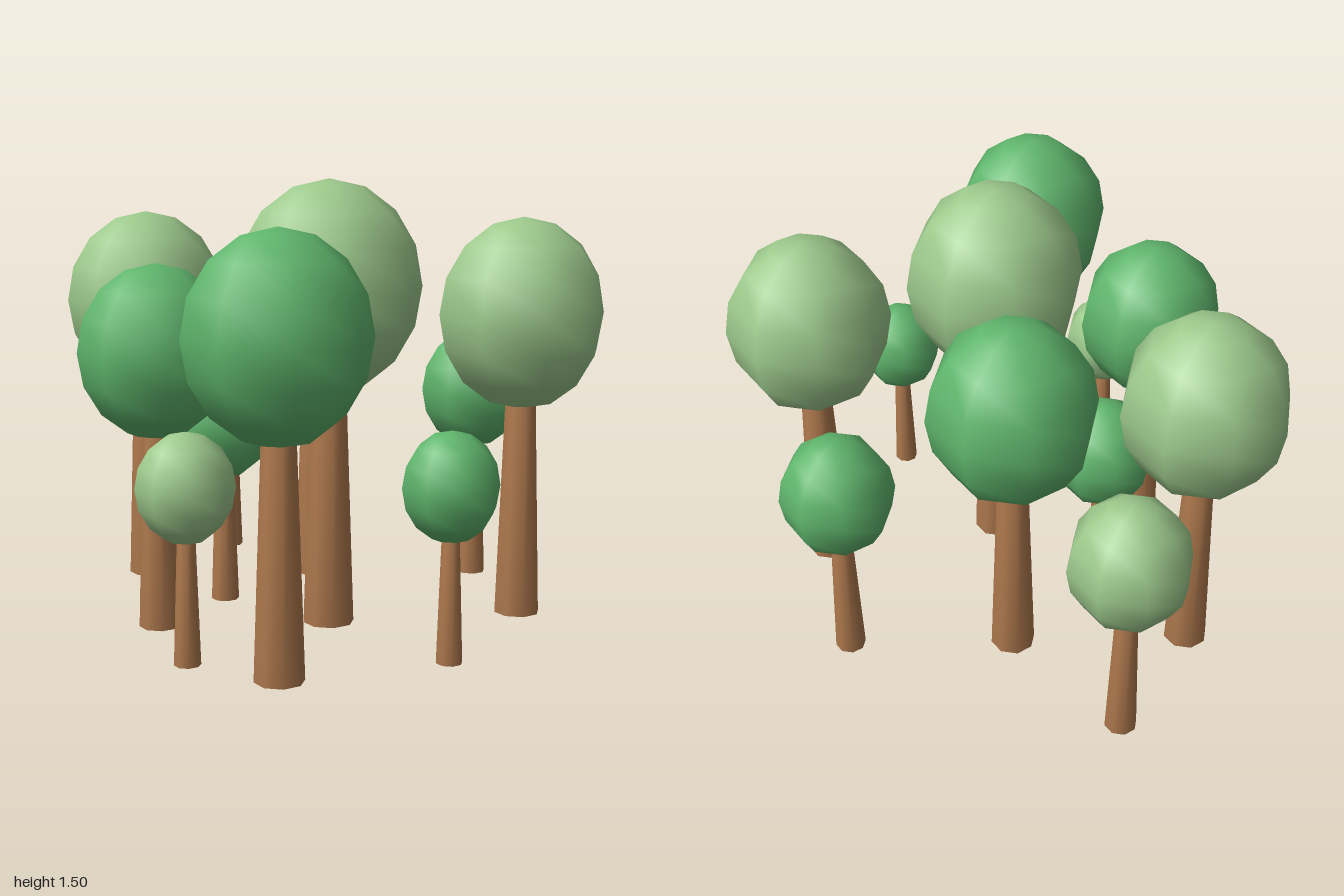
import * as THREE from 'three';
import { mergeVertices } from 'three/addons/utils/BufferGeometryUtils.js';

const SIDES = 8;
const FLAT = 1 / Math.cos(Math.PI / SIDES); // flat-to-flat size to corner radius

const bark = new THREE.MeshStandardMaterial({ color: 0xb07a4e });
const darkLeaf = new THREE.MeshStandardMaterial({ color: 0x5fb56c });
const lightLeaf = new THREE.MeshStandardMaterial({ color: 0x9dc98c });

// Weld a geometry so that its shading is smooth all over
function smooth(geometry) {
  geometry.deleteAttribute('normal');
  geometry.deleteAttribute('uv');
  const welded = mergeVertices(geometry, 1e-4);
  welded.computeVertexNormals();
  return welded;
}

// All trees share one shape, sized so that the crown is 1 unit in half-width
const trunkShape = smooth(
  new THREE.CylinderGeometry(0.17 * FLAT, 0.273 * FLAT, 3.3, SIDES)
    .rotateY(Math.PI / SIDES)
    .translate(0, 1.65, 0)
);
const crownShape = smooth(
  new THREE.SphereGeometry(1, SIDES, 8)
    .rotateY(Math.PI / SIDES)
    .scale(FLAT, 1.215, FLAT)
    .translate(0, 3.885, 0)
);

// x, z, crown half-width, leaf material, height of the trunk's foot
const trees = [
  [-0.33, -0.605, 0.265, lightLeaf, 0.022],
  [0.124, -0.81, 0.19, lightLeaf, 0.022],
  [0.198, -0.273, 0.265, darkLeaf, 0.022],
  [-0.235, -0.205, 0.166, darkLeaf, 0],
  [-0.615, 0.025, 0.237, darkLeaf, 0.022],
  [0.689, 0.043, 0.18, darkLeaf, 0.022],
  [-0.116, 0.288, 0.29, lightLeaf, 0.022],
  [-0.73, 0.43, 0.143, lightLeaf, 0.022],
  [-0.57, 0.71, 0.265, darkLeaf, 0.022],
  [0.492, 0.542, 0.265, lightLeaf, 0.022],
  [-0.04, 0.85, 0.143, darkLeaf, 0.022],
];

export function createModel() {
  const grove = new THREE.Group();
  grove.name = 'grove';
  trees.forEach(([x, z, size, leaf, foot], i) => {
    const tree = new THREE.Group();
    tree.name = `tree${i + 1}`;
    const trunk = new THREE.Mesh(trunkShape, bark);
    trunk.name = 'trunk';
    const crown = new THREE.Mesh(crownShape, leaf);
    crown.name = 'crown';
    tree.add(trunk, crown);
    tree.scale.setScalar(size);
    tree.position.set(x, foot, z);
    grove.add(tree);
  });
  return grove;
}
